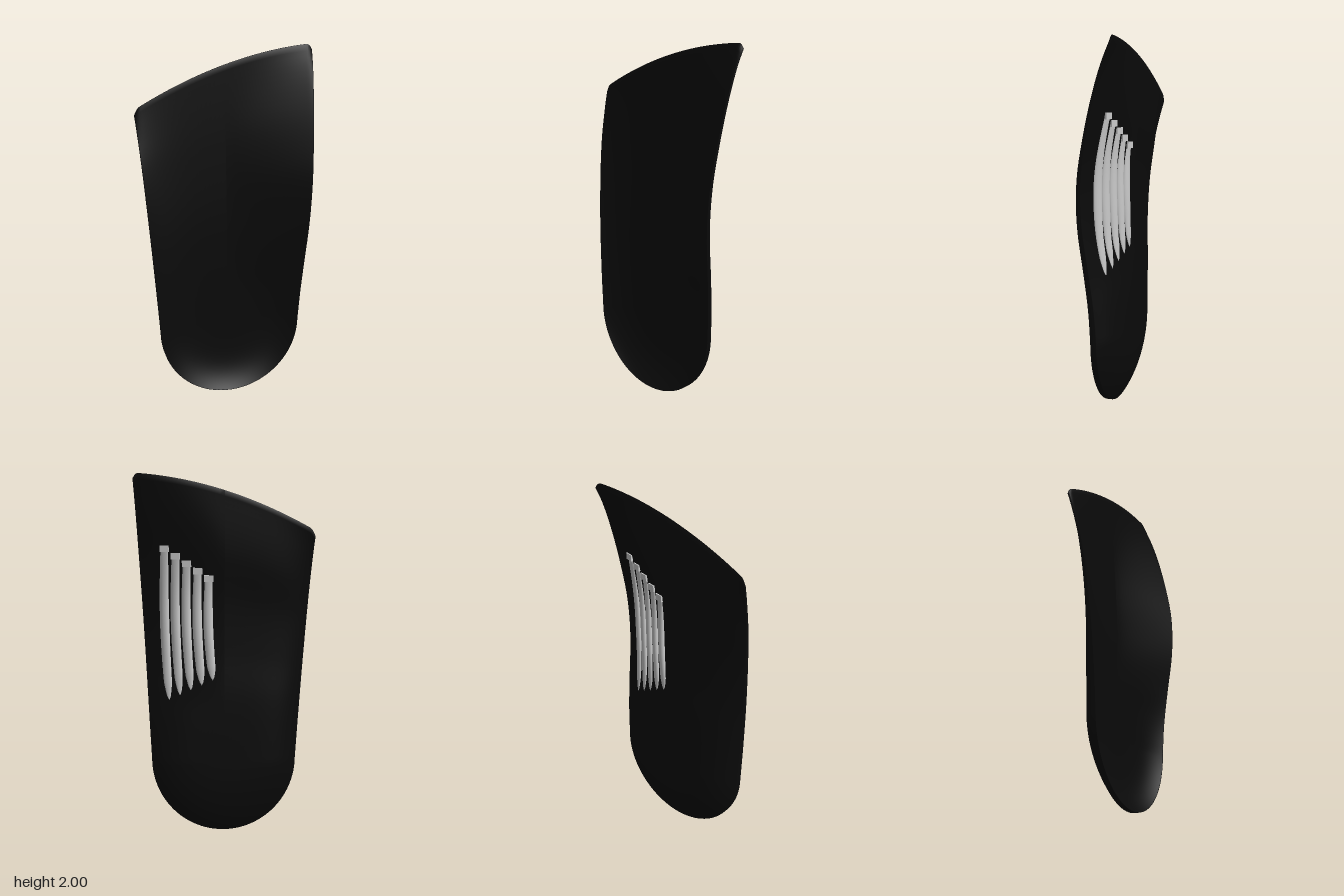
import * as THREE from 'three';

// Smooth function through a few (position, value) samples
function curve(at, values) {
  const c = new THREE.CubicInterpolant(at, values, 1, new Float32Array(1));
  return (v) => c.evaluate(Math.min(1, Math.max(0, v)))[0];
}

const HEEL = 0.42; // height where the round heel meets the straight sides
const halfWidth = (v) => 0.405 + 0.083 * v;
const toeY = (x) => 1.91 + 0.31 * x - 0.26 * x * x;

// Heights along the length, v = 0 at the heel and 1 at the toe edge
const floorFront = curve([0, 0.4, 0.7, 1], [-0.04, -0.04, -0.062, -0.092]);
const floorBack = curve([0, 0.25, 0.42, 0.6, 0.78, 1], [-0.08, -0.076, -0.066, -0.07, -0.096, -0.102]);
const rimThickness = curve([0, 0.45, 1], [0.03, 0.022, 0.008]);
const archRim = curve(
  [0, 0.11, 0.24, 0.37, 0.46, 0.56, 0.68, 0.81, 0.94, 1],
  [0.045, 0.053, 0.075, 0.1, 0.105, 0.095, 0.06, 0.01, -0.055, -0.095]);
const outerRim = curve([0, 0.15, 0.45, 0.75, 0.9, 1], [0.045, 0.041, 0.02, -0.025, -0.065, -0.095]);

// Steepness of the side walls: low is a gentle slope, high a sharp wall
const archAt = [0, 0.12, 0.22, 0.45, 0.75, 1];
const archPowerFront = curve(archAt, [4, 2.6, 1.6, 1.25, 1.3, 2.2]);
const archPowerBack = curve(archAt, [5, 3, 1.8, 1.4, 1.4, 2.5]);

function frontZ(v, t, side) {
  const rim = side > 0 ? archRim(v) : outerRim(v);
  const power = side > 0 ? archPowerFront(v) : 4;
  return floorFront(v) + (rim - floorFront(v)) * Math.pow(t, power);
}

function backZ(v, t, side, round = 0) {
  const rim = (side > 0 ? archRim(v) : outerRim(v)) - rimThickness(v);
  const power = (side > 0 ? archPowerBack(v) : 5) - 2 * round;
  return floorBack(v) + (rim - floorBack(v)) * Math.pow(t, power);
}

// Back surface on the arch side at a given x and y
function archBackZ(x, y) {
  const v = (y - HEEL) / (toeY(x) - HEEL);
  return backZ(v, Math.min(1, Math.max(0, x / halfWidth(v))), 1);
}

// Skin over equal rows of points; extra holds added triangles
function skin(rows, extra = []) {
  const n = rows[0].length;
  const index = [];
  for (let i = 0; i < rows.length - 1; i++) {
    for (let j = 0; j < n - 1; j++) {
      const a = i * n + j, b = a + n;
      index.push(a, b, a + 1, b, b + 1, a + 1);
    }
  }
  const g = new THREE.BufferGeometry();
  g.setAttribute('position', new THREE.Float32BufferAttribute(rows.flat(2), 3));
  g.setIndex(index.concat(extra));
  g.computeVertexNormals();
  return g;
}

function bodyGeometry() {
  const SIDE = 48, ROUND = 48, STEPS = 28;
  // Rays from the spine to the outline: arch side, round heel, outer side
  const rays = [];
  for (let i = 0; i < SIDE; i++) rays.push({ v: 1 - i / SIDE, a: 0, side: 1 });
  for (let i = 0; i <= ROUND; i++) rays.push({ v: 0, a: Math.PI * i / ROUND, side: i < ROUND / 2 ? 1 : -1 });
  for (let i = 1; i <= SIDE; i++) rays.push({ v: i / SIDE, a: Math.PI, side: -1 });

  const rows = rays.map(({ v, a, side }) => {
    const front = [], back = [];
    for (let j = 0; j <= STEPS; j++) {
      const t = 1 - Math.pow(1 - j / STEPS, 1.5);
      const x = t * halfWidth(v) * Math.cos(a);
      const corner = 0.03 * Math.pow(v, 10) * Math.pow(Math.max(0, (t - 0.94) / 0.06), 2);
      const y = HEEL - t * HEEL * Math.sin(a) + (toeY(x) - HEEL) * v - corner;
      front.push([x, y, frontZ(v, t, side)]);
      back.unshift([x, y, backZ(v, t, side, Math.sin(a))]);
    }
    return [...front, ...back];
  });

  // Thin closing strips along the toe edge
  const n = rows[0].length, last = (rows.length - 1) * n, caps = [];
  for (let j = 0; j < STEPS; j++) {
    const f0 = j, f1 = j + 1, b0 = n - 1 - j, b1 = n - 2 - j;
    caps.push(f0, f1, b1, f0, b1, b0);
    caps.push(last + f0, last + b1, last + f1, last + f0, last + b0, last + b1);
  }
  return skin(rows, caps);
}

// Bowed rib lying on the back of the arch, tapering to its lower end
function ribGeometry(x0, bottom, top) {
  const LENGTH = 36, RING = 14, rows = [];
  for (let i = 0; i <= LENGTH; i++) {
    const s = i / LENGTH;
    const y = bottom + (top - bottom) * s;
    const end = Math.sqrt(Math.min(1, s / 0.12));
    const w = 0.026 * end * (0.8 + 0.2 * Math.sin(Math.PI * s));
    const h = 0.005 + 0.014 * Math.sin(Math.PI * s);
    const xc = x0 - 0.02 * (1 - s) + 0.012 * Math.sin(Math.PI * s);
    const row = [];
    for (let j = 0; j <= RING; j++) {
      const a = 2 * Math.PI * j / RING;
      const x = xc - w * Math.cos(a);
      const lift = Math.sin(a) > 0 ? h * end : 0.004;
      row.push([x, y, archBackZ(x, y) - lift * Math.sin(a)]);
    }
    rows.push(row);
  }
  return skin(rows);
}

export function createModel() {
  const model = new THREE.Group();
  model.name = 'insole';
  const black = new THREE.MeshStandardMaterial({ color: 0x0a0a0a });
  const grey = new THREE.MeshStandardMaterial({ color: 0xcccccc });

  const body = new THREE.Mesh(bodyGeometry(), black);
  body.name = 'insoleBody';
  model.add(body);

  // Five arch ribs, each with a flat tab at its upper end
  const ribs = new THREE.Group();
  ribs.name = 'archRibs';
  for (let k = 0; k < 5; k++) {
    const x = 0.325 - 0.06 * k;
    const top = 1.6 - 0.04 * k;
    const rib = new THREE.Mesh(ribGeometry(x, 0.76 + 0.03 * k, top), grey);
    rib.name = 'archRib';
    const tab = new THREE.Mesh(new THREE.BoxGeometry(0.05, 0.035, 0.014), grey);
    tab.name = 'ribTab';
    tab.position.set(x, top, archBackZ(x, top) - 0.003);
    const slope = (archBackZ(x + 0.02, top) - archBackZ(x - 0.02, top)) / 0.04;
    tab.rotation.y = -Math.atan(slope);
    ribs.add(rib, tab);
  }
  model.add(ribs);
  return model;
}
